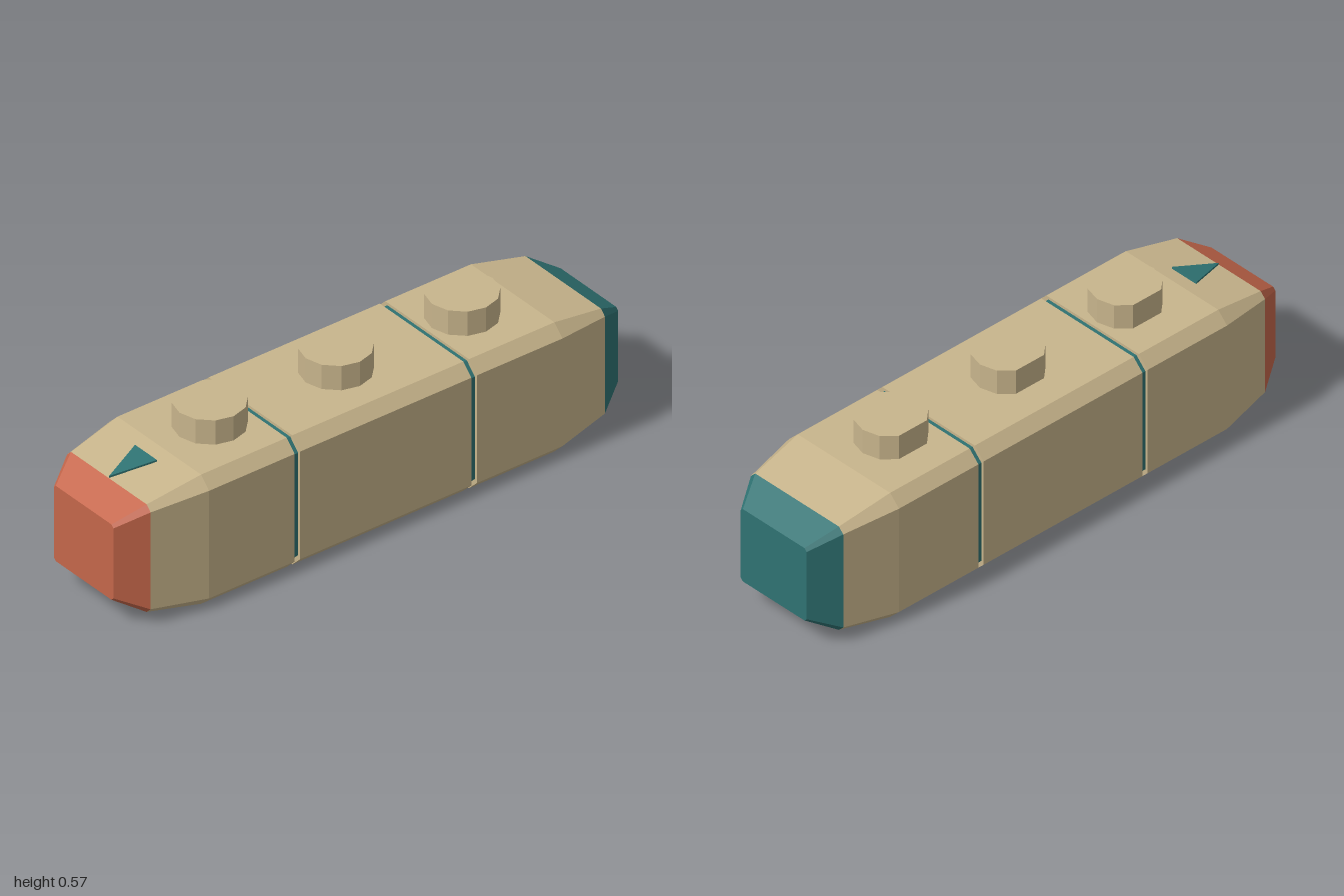
import * as THREE from 'three';

const mat = (name, color) => {
  const m = new THREE.MeshStandardMaterial({ color });
  m.name = name;
  return m;
};

const MID = 0.24;            // height of the body axis
const G = 0.35, GW = 0.011;  // groove position and half width
const GD = 0.01;             // groove depth
const R = 0.12, FLAT = -0.1; // peg radius and its flat side

// Chamfered rectangle at depth z, counter-clockwise seen from the front
function ring(z, w, h, c) {
  return [[c - w, -h], [w - c, -h], [w, c - h], [w, h - c],
    [w - c, h], [c - w, h], [-w, h - c], [-w, c - h]]
    .map(([x, y]) => [x, y + MID, z]);
}
const full = (z) => ring(z, 0.25, 0.24, 0.04);
const inset = (z) => ring(z, 0.25 - GD, 0.24 - GD, 0.04);
const neck = (z) => ring(z, 0.21, 0.20, 0.02);
const tip = (z) => ring(z, 0.15, 0.14, 0.01);

// Skin rings ordered back to front; optionally cap an end or leave out the bottom
function loft(rings, { capBack, capFront, openBottom } = {}) {
  const p = [];
  const tri = (a, b, c) => p.push(...a, ...b, ...c);
  for (let k = 0; k + 1 < rings.length; k++) {
    const a = rings[k], b = rings[k + 1];
    for (let i = openBottom ? 1 : 0; i < 8; i++) {
      const j = (i + 1) % 8;
      tri(a[i], a[j], b[j]);
      tri(a[i], b[j], b[i]);
    }
  }
  const f = rings[rings.length - 1], r = rings[0];
  for (let i = 1; i < 7; i++) {
    if (capFront) tri(f[0], f[i], f[i + 1]);
    if (capBack) tri(r[0], r[i + 1], r[i]);
  }
  const g = new THREE.BufferGeometry();
  g.setAttribute('position', new THREE.Float32BufferAttribute(p, 3));
  g.computeVertexNormals();
  return g;
}

// Cut one side of a round geometry flat and give it hard facets
function flatten(geo) {
  const pos = geo.attributes.position;
  for (let i = 0; i < pos.count; i++) pos.setX(i, Math.max(pos.getX(i), FLAT));
  const g = geo.toNonIndexed();
  g.computeVertexNormals();
  return g;
}

export function createModel() {
  const tan = mat('tan', 0xc8b58c);
  const teal = mat('teal', 0x2f7272);
  const red = mat('brickRed', 0xc4664a);
  const model = new THREE.Group();
  model.name = 'peggedBar';
  const add = (name, geo, material, x = 0, y = 0, z = 0) => {
    const m = new THREE.Mesh(geo, material);
    m.name = name;
    m.position.set(x, y, z);
    model.add(m);
    return m;
  };

  // Tapered shoulders and coloured end caps
  add('frontShoulder', loft([full(0.7), neck(0.9)]), tan);
  add('backShoulder', loft([neck(-0.9), full(-0.7)]), tan);
  add('frontCap', loft([neck(0.9), tip(1)], { capFront: true }), red);
  add('backCap', loft([tip(-1), neck(-0.9)], { capBack: true }), teal);

  // Three body sections, each with a peg on top and a socket below
  const sections = [[-0.7, -G - GW, -0.5], [-G + GW, G - GW, 0], [G + GW, 0.7, 0.5]];
  const socketDepth = 0.1;
  for (const [z0, z1, zc] of sections) {
    add('bodySection', loft([full(z0), full(z1)], { openBottom: true }), tan);

    const base = new THREE.Shape([[-0.21, z0], [0.21, z0], [0.21, z1], [-0.21, z1]]
      .map(([x, z]) => new THREE.Vector2(x, z)));
    const hole = [];
    for (let i = 0; i < 12; i++) {
      const a = i * Math.PI / 6;
      hole.push(new THREE.Vector2(Math.max(R * Math.sin(a), FLAT), zc + R * Math.cos(a)));
    }
    base.holes.push(new THREE.Path(hole));
    add('bodyBottom', new THREE.ShapeGeometry(base).rotateX(Math.PI / 2), tan);

    add('peg', flatten(new THREE.CylinderGeometry(R, R, 0.09, 12)), tan, 0, 0.525, zc);

    // Mirrored in y so the wall faces inward
    const wall = new THREE.CylinderGeometry(R, R, socketDepth, 12, 1, true).scale(1, -1, 1);
    add('socketWall', flatten(wall), teal, 0, socketDepth / 2, zc);
    const ceiling = new THREE.CircleGeometry(R, 12).rotateX(Math.PI / 2);
    add('socketCeiling', flatten(ceiling), teal, 0, socketDepth, zc);
  }

  // Grooves between the sections: tan side walls, teal floor
  for (const z of [-G, G]) {
    add('grooveBackWall', loft([full(z - GW), inset(z - GW)]), tan);
    add('grooveFloor', loft([inset(z - GW), inset(z + GW)]), teal);
    add('grooveFrontWall', loft([inset(z + GW), full(z + GW)]), tan);
  }

  // Thin arrow lying on the front slope
  const arrow = new THREE.Shape([[-0.055, -0.15], [0, 0], [0.055, -0.15]]
    .map(([x, z]) => new THREE.Vector2(x, z)));
  const arrowGeo = new THREE.ExtrudeGeometry(arrow, { depth: 0.008, bevelEnabled: false })
    .rotateX(Math.PI / 2);
  const plate = add('directionArrow', arrowGeo, teal, 0, 0.447, 0.9);
  plate.rotation.x = Math.atan2(0.04, 0.2);

  return model;
}
